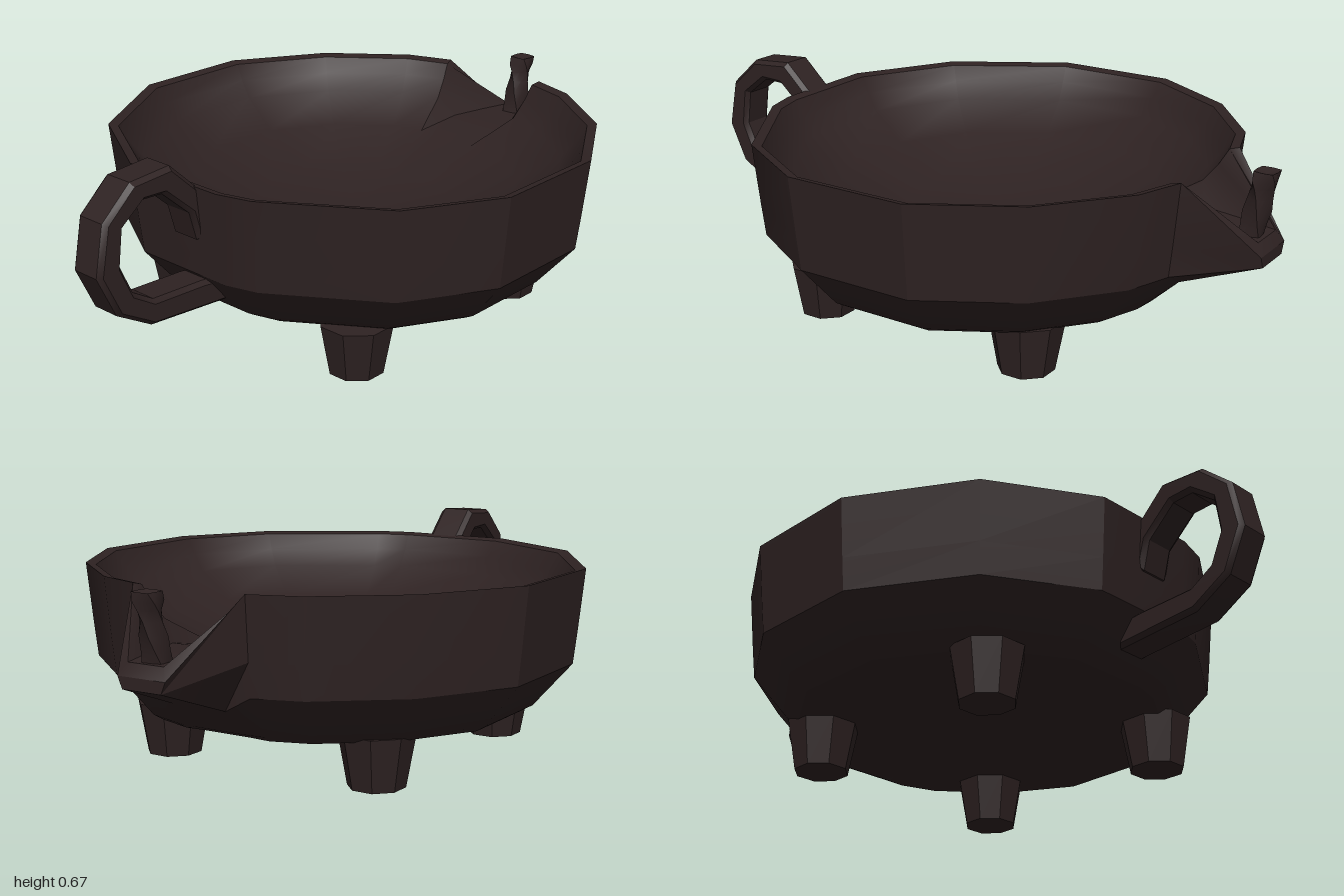
import * as THREE from 'three';
import { toCreasedNormals } from 'three/addons/utils/BufferGeometryUtils.js';

const clay = new THREE.MeshStandardMaterial({ color: 0x2e2222 });
clay.name = 'dark brown clay';

// Skin a list of equal-length rings (points clockwise seen from above, bottom row first)
function loft(rows) {
  const n = rows[0].length, pos = [], idx = [];
  rows.forEach(r => r.forEach(p => pos.push(...p)));
  for (let i = 0; i < rows.length - 1; i++) {
    for (let j = 0; j < n; j++) {
      const a = i * n + j, b = i * n + (j + 1) % n, c = a + n, d = b + n;
      idx.push(a, c, b, b, c, d);
    }
  }
  const g = new THREE.BufferGeometry();
  g.setAttribute('position', new THREE.Float32BufferAttribute(pos, 3));
  g.setIndex(idx);
  return g;
}

// Worn clay: soft over shallow bends, sharp at strong edges
function add(group, name, geometry) {
  const mesh = new THREE.Mesh(toCreasedNormals(geometry, 0.5), clay);
  mesh.name = name;
  group.add(mesh);
  return mesh;
}

// Bowl: hand-cut rim outline scaled per level; the two tip points follow the spout
function bowlGeometry() {
  const cx = 0.08;
  const outline = [[-0.12, -0.755], [0.27, -0.755], [0.56, -0.58], [0.75, -0.34], [0.8, -0.19],
    'tip-', 'tip+', [0.8, 0.19], [0.75, 0.34], [0.56, 0.58], [0.27, 0.75], [-0.12, 0.75],
    [-0.4, 0.59], [-0.62, 0.25], [-0.65, 0.14], [-0.65, -0.22], [-0.47, -0.54]];
  // scale, height, then tip x, y, half width
  const levels = [
    [0, 0.147, 0.08, 0.147, 0],
    [0.77, 0.147, 0.63, 0.147, 0.08],
    [0.81, 0.165, 0.67, 0.165, 0.08],
    [0.96, 0.3, 0.76, 0.25, 0.09],
    [0.975, 0.4, 1.0, 0.34, 0.065],
    [1, 0.587, 1.0, 0.375, 0.08],
    [0.96, 0.58, 0.98, 0.41, 0.06],
    [0.92, 0.53, 0.87, 0.41, 0.09],
    [0.86, 0.475, 0.73, 0.415, 0.11],
    [0.68, 0.395, 0.57, 0.385, 0.08],
    [0.4, 0.32, 0.37, 0.32, 0.05],
    [0, 0.285, 0.08, 0.285, 0],
  ];
  return loft(levels.map(([s, y, tx, ty, tz]) => outline.map(p =>
    p === 'tip-' ? [tx, ty, -tz] : p === 'tip+' ? [tx, ty, tz]
      : [cx + (p[0] - cx) * s, y, p[1] * s])));
}

// Handle: faceted loop with chamfered edges, running into the bowl wall
function handleGeometry() {
  const outer = [[-0.6, 0.54], [-0.64, 0.585], [-0.73, 0.67], [-0.87, 0.66], [-0.97, 0.57],
    [-1.0, 0.42], [-0.94, 0.29], [-0.82, 0.22], [-0.54, 0.2]];
  const inner = [[-0.54, 0.28], [-0.63, 0.29], [-0.81, 0.297], [-0.88, 0.34], [-0.92, 0.43],
    [-0.905, 0.54], [-0.83, 0.598], [-0.76, 0.595], [-0.665, 0.51], [-0.64, 0.42], [-0.6, 0.42]];
  const shape = new THREE.Shape([...outer, ...inner].map(p => new THREE.Vector2(...p)));
  const g = new THREE.ExtrudeGeometry(shape, { depth: 0.09, bevelEnabled: true,
    bevelThickness: 0.015, bevelSize: 0.012, bevelOffset: -0.012, bevelSegments: 1 });
  return g.translate(0, 0, -0.045);
}

// Wick: twisted cord leaning out of the spout, pinched under a knotted end
function wickGeometry() {
  const n = 8, rows = [];
  const ring = (y, r, twist) => Array.from({ length: n }, (_, j) => {
    const a = j / n * Math.PI * 2 + twist, k = r * (j % 2 ? 0.85 : 1.08);
    return [0.93 + (y - 0.4) * 0.19 + Math.cos(a) * k, y, Math.sin(a) * k];
  });
  const profile = [[0.36, 0], [0.36, 0.038], [0.4, 0.04], [0.44, 0.036], [0.48, 0.038],
    [0.52, 0.034], [0.55, 0.036], [0.575, 0.041], [0.602, 0.038], [0.592, 0]];
  profile.forEach(([y, r], i) => rows.push(ring(y, r, i * 0.3)));
  return loft(rows);
}

export function createModel() {
  const model = new THREE.Group();
  model.name = 'oilLamp';
  add(model, 'bowl', bowlGeometry());
  add(model, 'handle', handleGeometry());
  add(model, 'wick', wickGeometry());

  // Four tapered feet
  const leg = new THREE.CylinderGeometry(0.114, 0.085, 0.16, 8).rotateY(Math.PI / 8);
  for (const x of [-0.32, 0.42]) {
    for (const z of [-0.365, 0.365]) {
      add(model, 'leg', leg).position.set(x, 0.08, z);
    }
  }
  return model;
}
